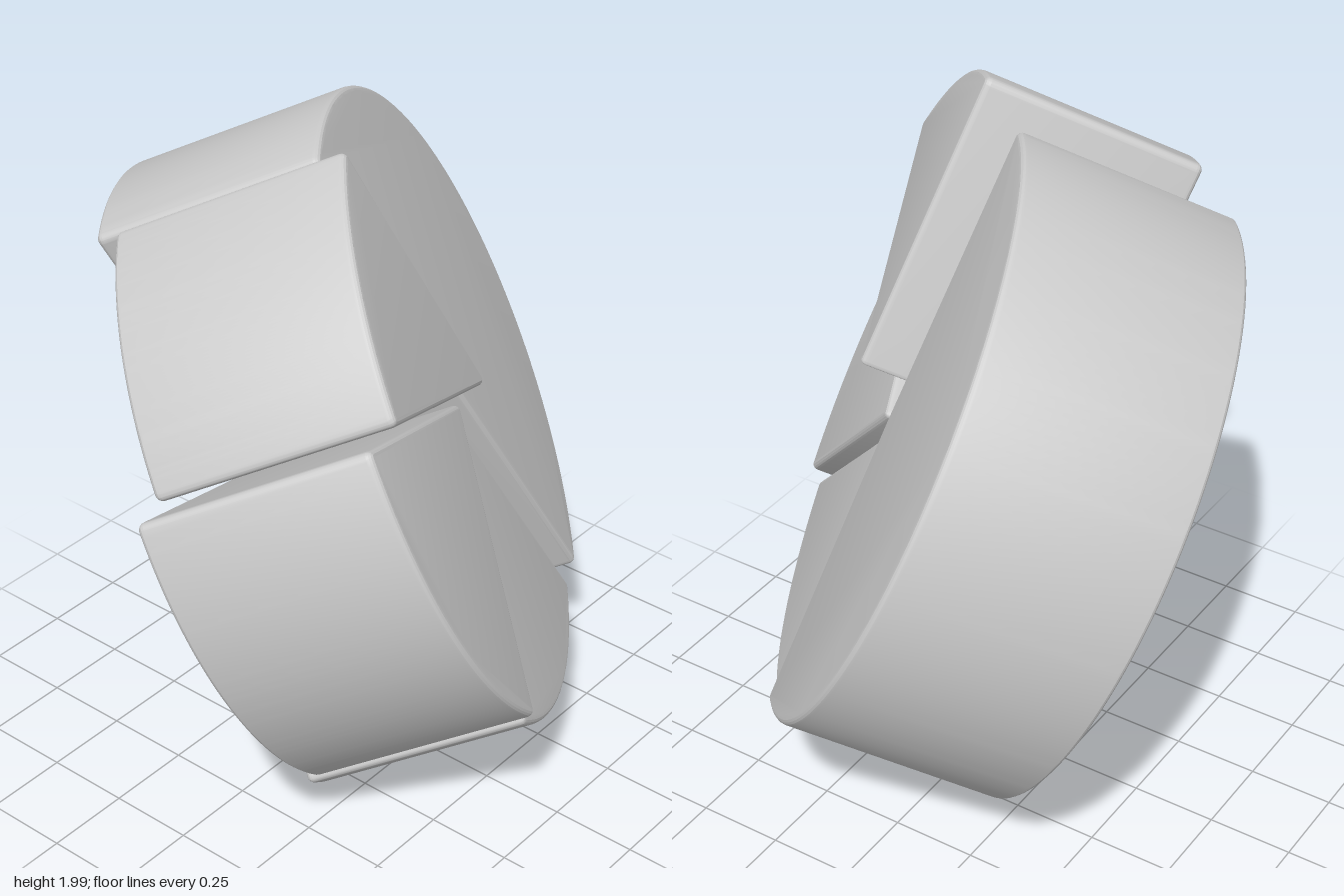
import * as THREE from 'three';
import { toCreasedNormals } from 'three/addons/utils/BufferGeometryUtils.js';

const RADIUS = 0.885;
const THICKNESS = 0.652;
const BEVEL = 0.018;
const CORNER = 0.025;

// Outline of a pie slice with its tip at the origin and softly rounded corners
function sectorShape(startDeg, endDeg) {
  const a0 = THREE.MathUtils.degToRad(startDeg);
  const a1 = THREE.MathUtils.degToRad(endDeg);
  const at = (r, a) => [r * Math.cos(a), r * Math.sin(a)];
  const da = CORNER / RADIUS;
  const shape = new THREE.Shape();
  shape.moveTo(...at(CORNER, a0));
  shape.lineTo(...at(RADIUS - CORNER, a0));
  shape.quadraticCurveTo(...at(RADIUS, a0), ...at(RADIUS, a0 + da));
  shape.absarc(0, 0, RADIUS, a0 + da, a1 - da, false);
  shape.quadraticCurveTo(...at(RADIUS, a1), ...at(RADIUS - CORNER, a1));
  shape.lineTo(...at(CORNER, a1));
  shape.quadraticCurveTo(0, 0, ...at(CORNER, a0));
  return shape;
}

// Thick slice; tip is its point in the disc plane, top the height of its face along the axis
function makeSlice({ name, start, end, tip, top }, material) {
  const geometry = new THREE.ExtrudeGeometry(sectorShape(start, end), {
    depth: THICKNESS - 2 * BEVEL,
    bevelEnabled: true,
    bevelThickness: BEVEL,
    bevelSize: BEVEL,
    bevelOffset: -BEVEL,
    bevelSegments: 4,
    curveSegments: 40,
  });
  geometry.translate(0, 0, BEVEL);
  const mesh = new THREE.Mesh(toCreasedNormals(geometry, 0.2), material);
  mesh.name = name;
  mesh.position.set(tip[0], tip[1], top - THICKNESS);
  return mesh;
}

export function createModel() {
  const model = new THREE.Group();
  model.name = 'pieChart';
  const material = new THREE.MeshStandardMaterial({ color: 0xcccccc });

  // Tilted disc: local z is the disc axis
  const disc = new THREE.Group();
  disc.name = 'tiltedDisc';
  const axis = new THREE.Vector3(0.49, 0.414, 0.767).normalize();
  const across = new THREE.Vector3(0, 1, 0).cross(axis).normalize();
  const up = axis.clone().cross(across);
  disc.quaternion.setFromRotationMatrix(new THREE.Matrix4().makeBasis(across, up, axis));

  // Slices, pulled slightly apart and offset along the axis
  const slices = [
    { name: 'largeSlice', start: -71, end: 103.7, tip: [0.018, 0.909], top: 0.73 },
    { name: 'raisedSlice', start: 103.7, end: 154.5, tip: [-0.096, 0.961], top: 0.845 },
    { name: 'sideSlice', start: 154.8, end: 227.3, tip: [-0.022, 0.887], top: 0.73 },
    { name: 'loweredSlice', start: 227.4, end: 289.3, tip: [-0.013, 0.866], top: 0.69 },
  ];
  for (const slice of slices) disc.add(makeSlice(slice, material));

  model.add(disc);
  return model;
}
